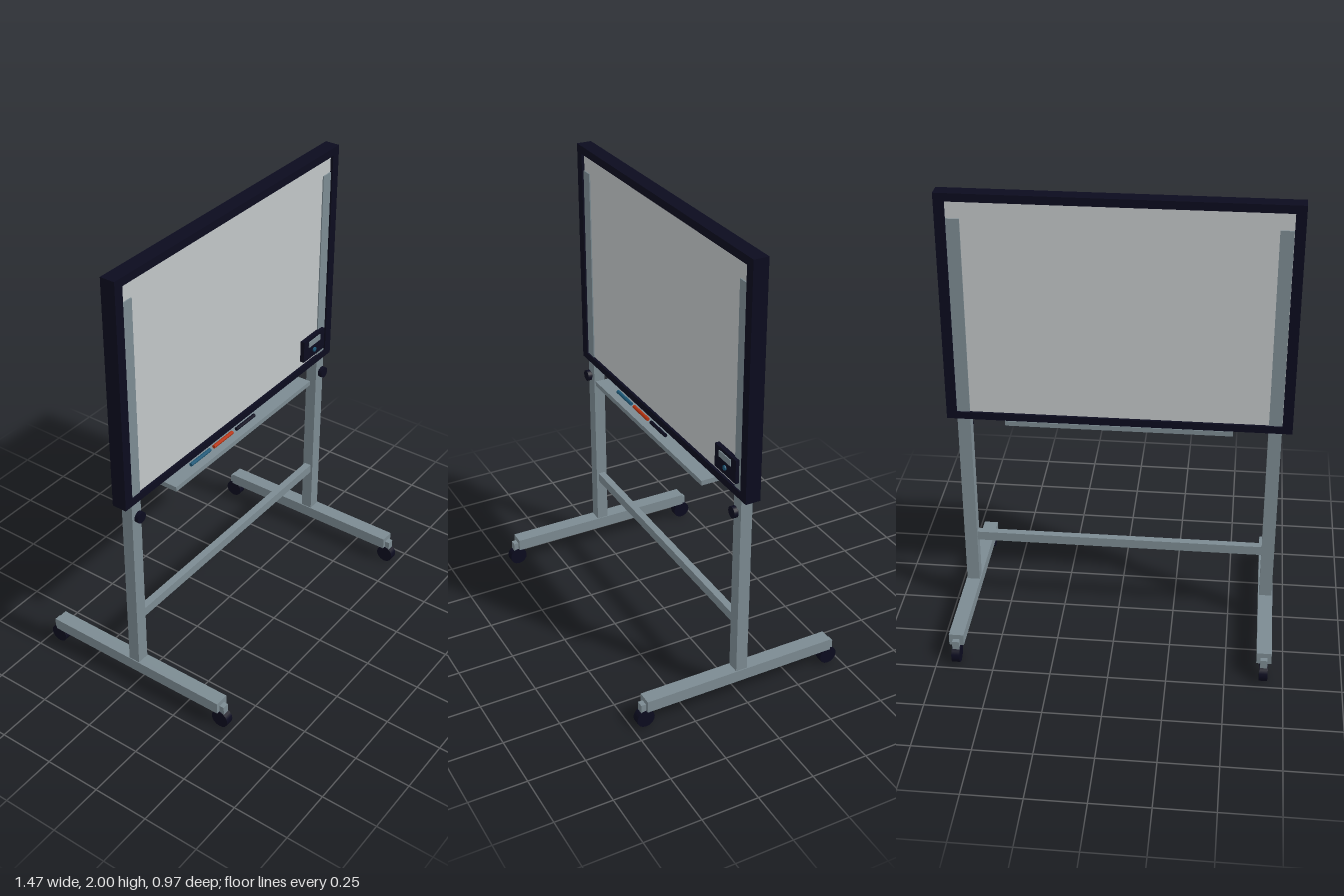
import * as THREE from 'three';

const mat = (name, color) => new THREE.MeshStandardMaterial({ name, color });

export function createModel() {
  const root = new THREE.Group();
  root.name = 'mobileWhiteboard';

  const steel = mat('greySteel', 0x7c8b92);
  const dark = mat('darkNavy', 0x0b0b1e);
  const board = mat('boardGrey', 0xc1c6c7);
  const blue = mat('markerBlue', 0x1b5878);
  const red = mat('markerRed', 0xb8330f);

  const add = (name, geo, material, x, y, z, parent = root) => {
    const m = new THREE.Mesh(geo, material);
    m.name = name;
    m.position.set(x, y, z);
    parent.add(m);
    return m;
  };
  const box = (name, material, w, h, d, x, y, z, parent) =>
    add(name, new THREE.BoxGeometry(w, h, d), material, x, y, z, parent);
  // Cylinder lying along x or z
  const rod = (name, material, r, len, axis, sides, x, y, z, parent) => {
    const geo = new THREE.CylinderGeometry(r, r, len, sides);
    if (axis === 'x') geo.rotateZ(Math.PI / 2);
    else geo.rotateX(Math.PI / 2);
    return add(name, geo, material, x, y, z, parent);
  };
  const rect = (path, x0, y0, x1, y1) =>
    path.moveTo(x0, y0).lineTo(x1, y0).lineTo(x1, y1).lineTo(x0, y1).closePath();

  // Board frame with a window, and the writing panel inside it
  const outline = new THREE.Shape();
  rect(outline, -0.737, 0.98, 0.737, 2);
  const opening = new THREE.Path();
  rect(opening, -0.694, 1.012, 0.694, 1.965);
  outline.holes.push(opening);
  const frameGeo = new THREE.ExtrudeGeometry(outline, { depth: 0.066, bevelEnabled: false });
  add('boardFrame', frameGeo, dark, 0, 0, -0.033);
  box('writingPanel', board, 1.388, 0.953, 0.042, 0, 1.4885, 0);

  // Stand: one post, foot, knob and pair of casters per side
  for (const s of [-1, 1]) {
    const side = new THREE.Group();
    side.name = s > 0 ? 'leftStand' : 'rightStand';
    root.add(side);
    const x = s * 0.665;
    box('post', steel, 0.056, 1.76, 0.052, x, 1.01, 0, side);
    box('foot', steel, 0.064, 0.053, 0.886, x, 0.1085, 0, side);
    rod('knobStem', dark, 0.01, 0.02, 'z', 12, x, 0.912, 0.03, side);
    rod('knob', dark, 0.025, 0.018, 'z', 20, x, 0.912, 0.044, side);
    for (const f of [-1, 1]) {
      box('casterBracket', steel, 0.03, 0.045, 0.04, x, 0.09, f * 0.444, side);
      rod('casterWheel', dark, 0.04, 0.036, 'x', 16, x, 0.04, f * 0.444, side);
    }
  }
  box('crossbar', steel, 1.276, 0.042, 0.032, 0, 0.367, 0);

  // Marker tray and markers
  box('markerTray', steel, 0.975, 0.022, 0.11, 0, 0.96, 0.034);
  [[blue, -0.273], [red, -0.116], [dark, 0.044]].forEach(([m, x]) =>
    rod('marker', m, 0.008, 0.132, 'x', 10, x, 0.979, 0.05));

  // Control box with display and button
  const control = new THREE.Group();
  control.name = 'controlBox';
  root.add(control);
  box('controlBody', dark, 0.163, 0.104, 0.022, 0.588, 1.092, 0.03, control);
  box('controlDisplay', steel, 0.09, 0.028, 0.006, 0.588, 1.116, 0.042, control);
  rod('controlButton', blue, 0.011, 0.008, 'z', 16, 0.588, 1.072, 0.043, control);

  return root;
}
